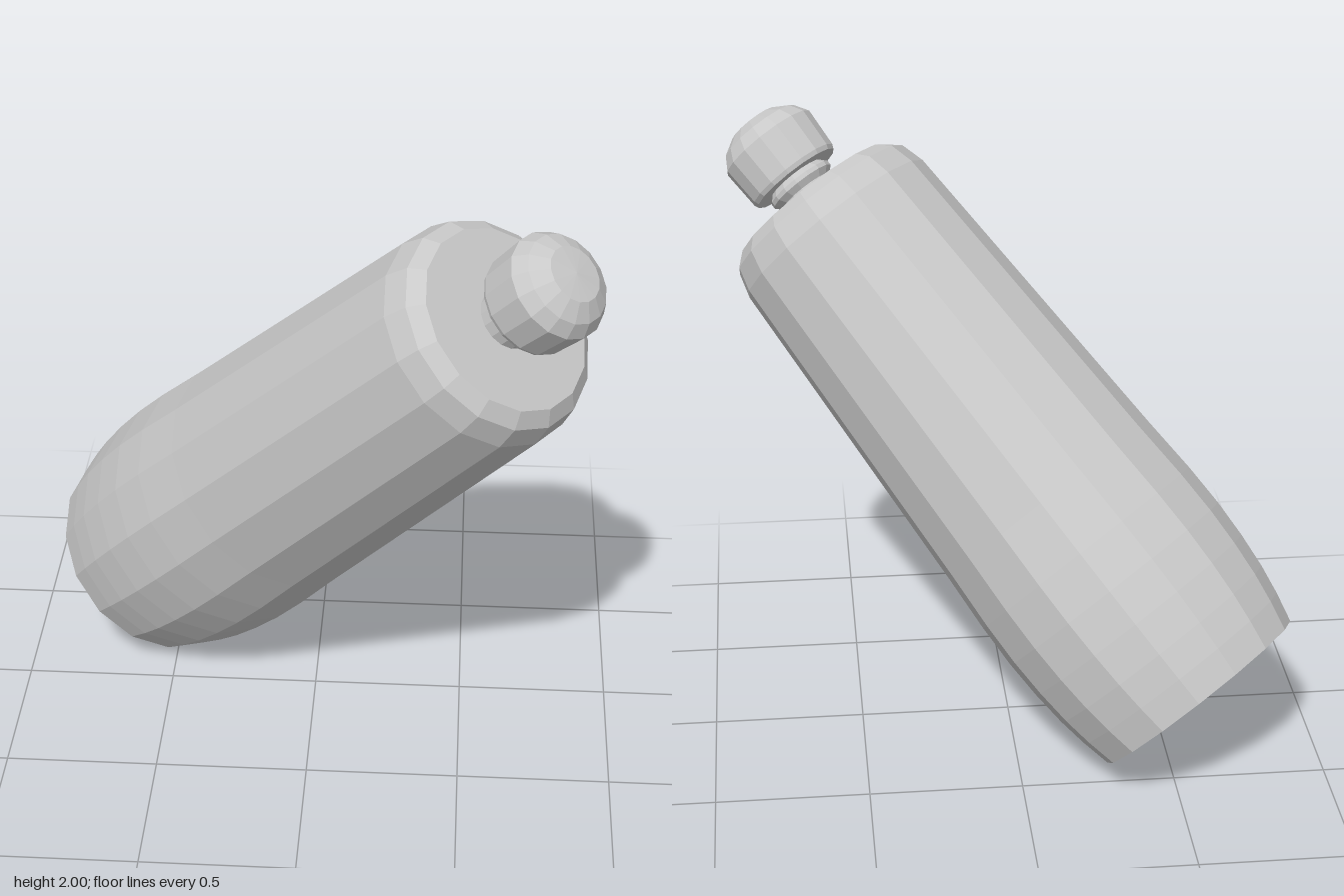
import * as THREE from 'three';

const SIDES = 16;

export function createModel() {
  const root = new THREE.Group();
  root.name = 'tiltedBottle';
  const grey = new THREE.MeshStandardMaterial({ color: 0xc8c8c8, flatShading: true });
  grey.name = 'plain grey';

  // Bottle stands along its own y axis; the group is tilted as a whole
  const bottle = new THREE.Group();
  bottle.name = 'bottle';
  root.add(bottle);

  // Each part is a faceted turning of [radius, height] points
  const turn = (name, points) => {
    const profile = points.map(([r, y]) => new THREE.Vector2(r, y));
    const geometry = new THREE.LatheGeometry(profile, SIDES, Math.PI / SIDES);
    const mesh = new THREE.Mesh(geometry, grey);
    mesh.name = name;
    bottle.add(mesh);
  };

  // Tapered body with a rounded lower end and a bevelled shoulder
  turn('body', [
    [0, 0], [0.38, 0], [0.402, 0.1], [0.418, 0.2], [0.429, 0.32], [0.434, 0.45],
    [0.431, 0.6], [0.419, 0.8], [0.367, 1.94], [0.345, 2.02], [0.3, 2.06], [0, 2.06],
  ]);

  // Short neck with a small collar below the cap
  turn('neck', [
    [0.098, 2.05], [0.098, 2.1], [0.118, 2.12], [0.118, 2.135], [0.1, 2.155], [0, 2.155],
  ]);

  // Straight-sided cap with a shallow dome
  turn('cap', [
    [0, 2.155], [0.158, 2.155], [0.165, 2.17], [0.173, 2.305],
    [0.145, 2.35], [0.09, 2.385], [0, 2.392],
  ]);

  // Lean towards the front left
  const axis = new THREE.Vector3(0.577, 0.694, 0.43).normalize();
  const side = new THREE.Vector3(-1, 0, 0);
  side.addScaledVector(axis, -side.dot(axis)).normalize();
  const third = new THREE.Vector3().crossVectors(side, axis);
  bottle.quaternion.setFromRotationMatrix(new THREE.Matrix4().makeBasis(side, axis, third));
  bottle.position.set(-0.589, 0.273, -0.412);

  return root;
}
